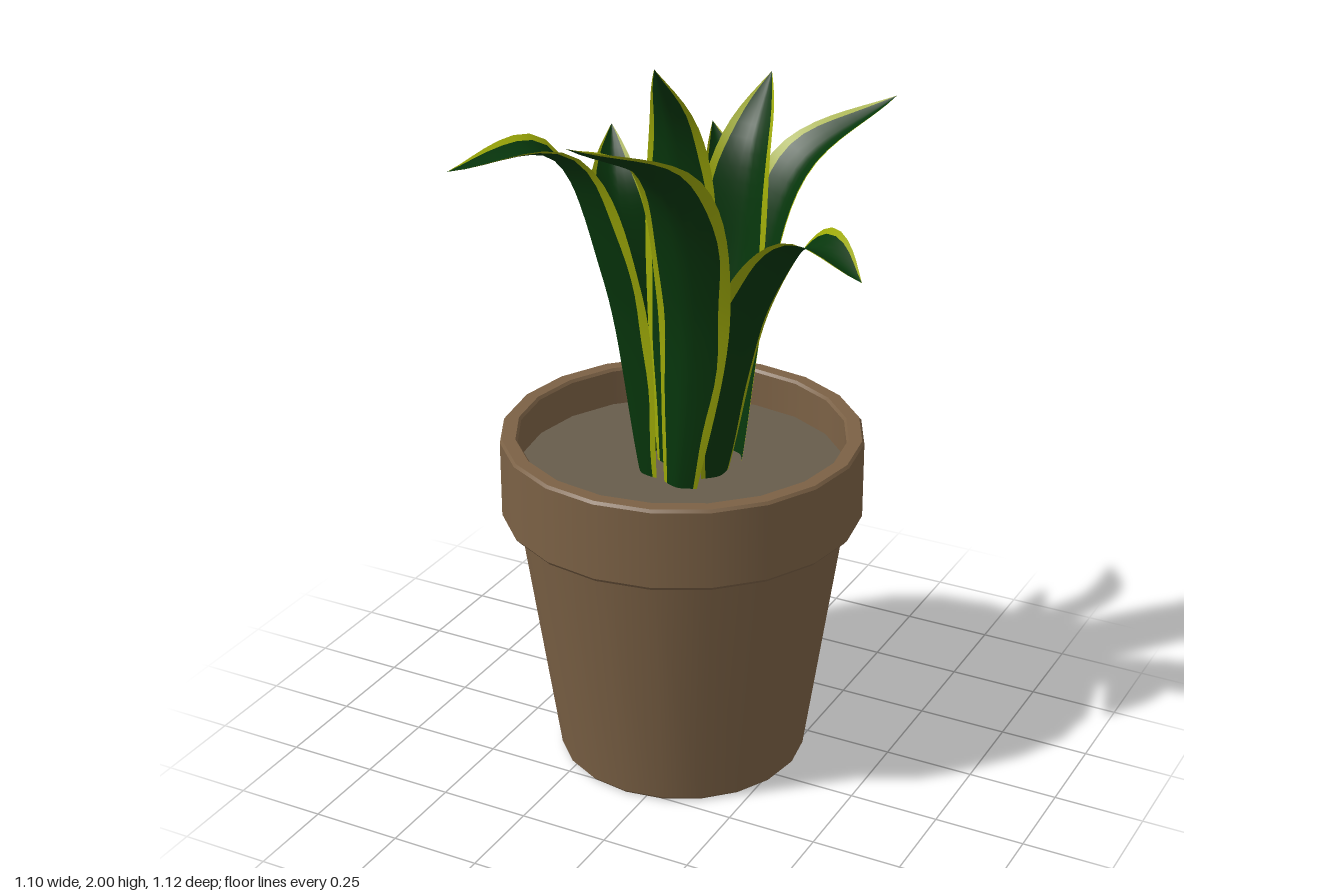
import * as THREE from 'three';
import { mergeGeometries } from 'three/addons/utils/BufferGeometryUtils.js';

const clay = new THREE.MeshStandardMaterial({ name: 'clay', color: 0x7b6145 });
const earth = new THREE.MeshStandardMaterial({ name: 'soil', color: 0x675c4b });
const green = new THREE.MeshStandardMaterial({ name: 'leaf green', color: 0x07360c, side: THREE.DoubleSide });
const yellow = new THREE.MeshStandardMaterial({ name: 'leaf margin', color: 0x9ca808, side: THREE.DoubleSide });

const POT_X = -0.06, POT_Z = -0.07, SIDES = 20, SOIL_Y = 0.855;

// Half width along the blade: narrow foot, broad middle, pointed tip
function halfWidth(t, w) {
  return t < 0.55
    ? w * (0.42 + 0.58 * Math.sin((Math.PI / 2) * (t / 0.55)))
    : w * (1 - Math.pow((t - 0.55) / 0.45, 2.2));
}

// Channelled blade along a midrib curve. heading = degrees from +x towards +z that
// the leaf leans to, turn = extra rotation of the blade towards its tip.
function makeLeaf({ name, heading, foot, middle, bend, tip, width = 0.112, turn = 0 }, seed) {
  const points = [[foot[0], SOIL_Y - 0.015, foot[1]], middle, bend, tip];
  const curve = new THREE.CatmullRomCurve3(points.map(p => new THREE.Vector3(...p)));
  const rows = 28, cols = 9;
  const pos = [], greenIdx = [], yellowIdx = [];
  for (let i = 0; i <= rows; i++) {
    const t = i / rows;
    const p = curve.getPointAt(t), T = curve.getTangentAt(t);
    const a = THREE.MathUtils.degToRad(heading + turn * t * t);
    const side = new THREE.Vector3(-Math.sin(a), 0, Math.cos(a));
    side.addScaledVector(T, -side.dot(T)).normalize();
    const inner = new THREE.Vector3().crossVectors(side, T).normalize();
    const inward = new THREE.Vector3(-Math.cos(a), 0.6, -Math.sin(a));
    if (inner.dot(inward) < 0) inner.negate();
    const hw = halfWidth(t, width);
    // Slightly uneven yellow margin
    const mL = 0.78 + 0.04 * Math.sin(t * 23 + seed);
    const mR = 0.78 + 0.04 * Math.sin(t * 19 + seed * 2.3);
    for (const u of [-1, -mL, -0.5, -0.2, 0, 0.2, 0.5, mR, 1]) {
      const v = p.clone().addScaledVector(side, u * hw)
        .addScaledVector(inner, 0.38 * hw * (Math.pow(Math.abs(u), 1.5) - 0.4));
      pos.push(v.x, v.y, v.z);
    }
  }
  for (let i = 0; i < rows; i++) {
    for (let j = 0; j < cols - 1; j++) {
      const k = i * cols + j;
      const list = j === 0 || j === cols - 2 ? yellowIdx : greenIdx;
      list.push(k, k + 1, k + cols, k + 1, k + cols + 1, k + cols);
    }
  }
  const geo = new THREE.BufferGeometry();
  geo.setAttribute('position', new THREE.Float32BufferAttribute(pos, 3));
  geo.setIndex([...greenIdx, ...yellowIdx]);
  geo.addGroup(0, greenIdx.length, 0);
  geo.addGroup(greenIdx.length, yellowIdx.length, 1);
  geo.computeVertexNormals();
  const mesh = new THREE.Mesh(geo, [green, yellow]);
  mesh.name = name;
  return mesh;
}

// Each midrib runs foot (x, z in the soil), middle, bend, tip
const LEAVES = [
  { name: 'leafRight', heading: 22, foot: [0.05, -0.06],
    middle: [0.14, 1.32, -0.045], bend: [0.35, 1.61, 0.04], tip: [0.55, 1.58, 0.155] },
  { name: 'leafFront', heading: 90, foot: [-0.01, 0.05],
    middle: [0.04, 1.4, 0.085], bend: [0.045, 1.77, 0.23], tip: [-0.04, 1.95, 0.555] },
  { name: 'leafFrontLeft', heading: 122, foot: [-0.13, 0.015],
    middle: [-0.2, 1.4, 0.05], bend: [-0.3, 1.78, 0.17], tip: [-0.45, 1.79, 0.435] },
  { name: 'leafLeft', heading: 188, turn: 50, width: 0.105, foot: [-0.16, -0.11],
    middle: [-0.21, 1.25, -0.11], bend: [-0.29, 1.58, -0.125], tip: [-0.35, 1.74, -0.22] },
  { name: 'leafBack', heading: -102, turn: -60, width: 0.108, foot: [-0.09, -0.22],
    middle: [-0.09, 1.25, -0.3], bend: [-0.095, 1.53, -0.4], tip: [-0.19, 1.69, -0.5] },
  { name: 'leafBackRight', heading: -53, foot: [0.04, -0.2],
    middle: [0.09, 1.4, -0.23], bend: [0.16, 1.68, -0.31], tip: [0.34, 1.83, -0.53] },
  { name: 'leafInnerBack', heading: -81, foot: [0, -0.14],
    middle: [0.04, 1.4, -0.16], bend: [0.06, 1.74, -0.21], tip: [0.05, 1.9, -0.37] },
  { name: 'leafCentre', heading: 90, width: 0.106, foot: [-0.09, -0.06],
    middle: [-0.09, 1.4, -0.095], bend: [-0.083, 1.8, -0.06], tip: [-0.075, 2, 0.05] },
];

export function createModel() {
  const model = new THREE.Group();
  model.name = 'pottedPlant';

  // Tapered pot with a thick collar and hollow top; one band per profile step keeps edges sharp
  const profile = [
    [0, 0], [0.338, 0], [0.345, 0.008], [0.447, 0.718], [0.447, 0.732],
    [0.486, 0.732], [0.494, 0.742], [0.494, 0.957], [0.488, 0.965],
    [0.452, 0.965], [0.446, 0.957], [0.446, 0.84],
  ].map(([r, y]) => new THREE.Vector2(r, y));
  const bands = profile.slice(1).map((p, i) => new THREE.LatheGeometry([profile[i], p], SIDES));
  const pot = new THREE.Mesh(mergeGeometries(bands), clay);
  pot.name = 'pot';
  pot.position.set(POT_X, 0, POT_Z);
  model.add(pot);

  // Soil surface
  const soil = new THREE.Mesh(new THREE.CircleGeometry(0.446, SIDES).rotateX(-Math.PI / 2), earth);
  soil.name = 'soil';
  soil.position.set(POT_X, SOIL_Y, POT_Z);
  model.add(soil);

  // Rosette of leaves
  const leaves = new THREE.Group();
  leaves.name = 'leaves';
  LEAVES.forEach((leaf, i) => leaves.add(makeLeaf(leaf, i * 1.7)));
  model.add(leaves);
  return model;
}
